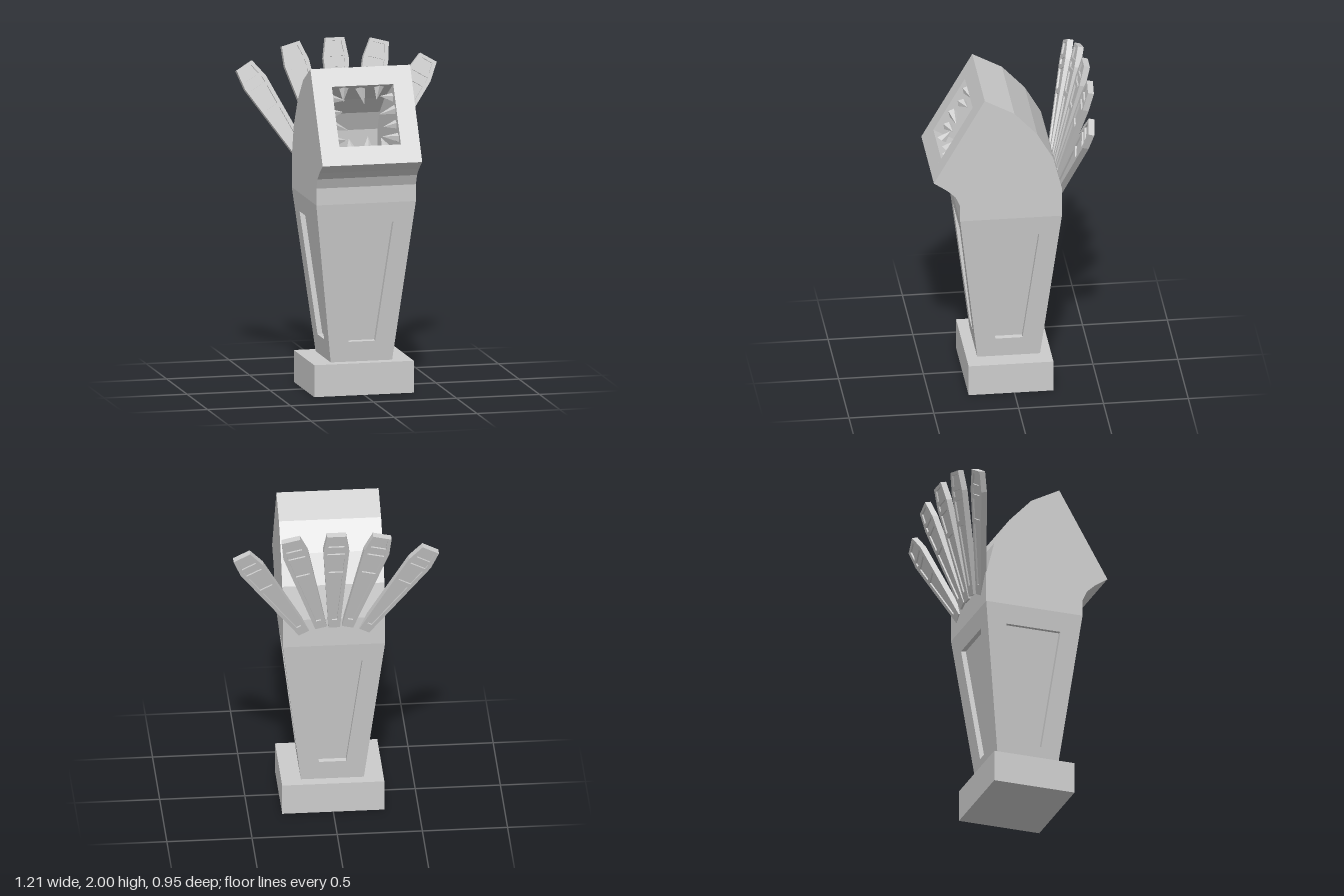
import * as THREE from 'three';

const material = new THREE.MeshStandardMaterial({ color: 0xcccccc, flatShading: true });

function add(parent, geometry, name) {
  const mesh = new THREE.Mesh(geometry, material);
  mesh.name = name;
  parent.add(mesh);
  return mesh;
}

const points = (list) => list.map(([x, y]) => new THREE.Vector2(x, y));

// Extrudes an outline, optionally with holes, from z0 to z0 + depth
function plate(outline, holes, z0, depth) {
  const shape = new THREE.Shape(points(outline));
  holes.forEach((h) => shape.holes.push(new THREE.Path(points(h))));
  return new THREE.ExtrudeGeometry(shape, { depth, bevelEnabled: false }).translate(0, 0, z0);
}

// Slab with a side profile given as (z, y), spanning x0 to x1
function sideSlab(profile, x0, x1) {
  return plate(profile, [], 0, x1 - x0).rotateY(-Math.PI / 2).translate(x1, 0, 0);
}

// Symmetric trapezoid between two heights
const trapezoid = (y0, w0, y1, w1) => [[-w0, y0], [w0, y0], [w1, y1], [-w1, y1]];

// Tapered square column with a sunken panel on each side
function createColumn() {
  const column = new THREE.Group();
  column.name = 'column';
  const bottom = 0.185, top = 0.3, height = 0.96, inset = 0.03;
  const slant = Math.hypot(height, top - bottom);
  const tilt = Math.atan2(top - bottom, height);

  const core = new THREE.CylinderGeometry((top - inset) * Math.SQRT2, (bottom - inset) * Math.SQRT2, height, 4);
  core.rotateY(Math.PI / 4).translate(0, height / 2, 0);
  add(column, core, 'columnCore');

  for (let i = 0; i < 4; i++) {
    const frame = plate(trapezoid(0, bottom, slant, top), [trapezoid(0.121, 0.08, 0.846, 0.168)], -inset, inset);
    frame.rotateX(tilt).translate(0, 0, bottom).rotateY((i * Math.PI) / 2);
    add(column, frame, 'panelFrame');
  }
  column.position.set(0, 0.19, 0.02);
  return column;
}

// Hooded head with a square mouth in its sloping front
function createHead() {
  const head = new THREE.Group();
  head.name = 'head';
  const back = [[0.175, 1.935], [0, 1.84], [-0.135, 1.695], [-0.23, 1.53], [-0.28, 1.33], [-0.28, 1.15]];
  const throat = [[0.32, 1.15], [0.32, 1.25], [0.347, 1.31], [0.395, 1.355], [0.475, 1.41]];
  const cavity = [[0.418, 1.51], [0.157, 1.36], [-0.15, 1.34], [-0.15, 1.5], [-0.1, 1.61], [0.02, 1.715], [0.232, 1.835]];
  const mouth = 0.185;

  add(head, sideSlab([...back, ...throat], mouth, 0.3), 'leftCheek');
  add(head, sideSlab([...back, ...throat], -0.3, -mouth), 'rightCheek');
  add(head, sideSlab([...back, ...throat, ...cavity], -mouth, mouth), 'jawAndHood');

  // Teeth around the rim, leaning inward and back
  const teeth = new THREE.Group();
  teeth.name = 'teeth';
  teeth.position.set(0, 1.6725, 0.325);
  teeth.rotation.x = -Math.atan2(0.3, 0.525);
  for (let side = 0; side < 4; side++) {
    const count = side % 2 ? 4 : 3;
    const angle = (side * Math.PI) / 2;
    for (let i = 0; i < count; i++) {
      const along = (i - (count - 1) / 2) * (count === 4 ? 0.085 : 0.105);
      const length = 0.085 + 0.02 * ((i + side) % 2);
      const geometry = new THREE.ConeGeometry(0.032, length, 5).translate(0, length / 2 - 0.012, 0);
      const tooth = add(teeth, geometry, 'tooth');
      const lean = 0.25 * Math.sin(i * 2.3 + side);
      const direction = new THREE.Vector3(lean, 1, -0.25).normalize();
      tooth.quaternion.setFromUnitVectors(new THREE.Vector3(0, 1, 0), direction);
      tooth.position.set(along, -mouth, -0.05 - 0.015 * (i % 2));
      const turn = new THREE.Quaternion().setFromAxisAngle(new THREE.Vector3(0, 0, 1), angle);
      tooth.position.applyQuaternion(turn);
      tooth.quaternion.premultiply(turn);
    }
  }
  head.add(teeth);
  return head;
}

// Flat blade with four recesses on both faces
function createBlade() {
  const blade = new THREE.Group();
  blade.name = 'blade';
  const length = 0.735, shoulder = 0.615, thickness = 0.036;
  const halfWidth = (v) => (v < shoulder
    ? 0.034 + (0.042 * v) / shoulder
    : 0.076 - (0.02 * (v - shoulder)) / (length - shoulder));
  const outline = [
    [-0.034, 0], [0.034, 0], [0.076, shoulder], [0.056, length], [-0.056, length], [-0.076, shoulder],
  ];
  const recesses = [[0.06, 0.415], [0.445, 0.565], [0.59, 0.625], [0.65, 0.715]].map(([a, b]) =>
    trapezoid(a, halfWidth(a) - 0.023, b, halfWidth(b) - 0.023));
  add(blade, plate(outline, recesses, -thickness / 2, thickness), 'bladeFrame');
  const inner = outline.map(([x, y]) => [x * 0.9, 0.01 + y * 0.97]);
  add(blade, plate(inner, [], -0.008, 0.016), 'bladeCore');
  return blade;
}

// Five blades fanned out behind the head
function createFan() {
  const fan = new THREE.Group();
  fan.name = 'fan';
  const spread = [[0, 0, 0], [0.078, 0, 0.262], [0.177, -0.037, 0.54]];
  spread.forEach(([x, y, angle], i) => {
    for (const side of i ? [1, -1] : [1]) {
      const blade = createBlade();
      blade.position.set(side * x, y, 0);
      blade.rotation.z = -side * angle;
      fan.add(blade);
    }
  });
  fan.position.set(0, 1.283, -0.276);
  fan.rotation.x = -0.25;
  return fan;
}

export function createModel() {
  const model = new THREE.Group();
  model.name = 'toothedPillar';
  add(model, new THREE.BoxGeometry(0.6, 0.19, 0.5).translate(0, 0.095, 0.02), 'base');
  model.add(createColumn(), createHead(), createFan());
  return model;
}
